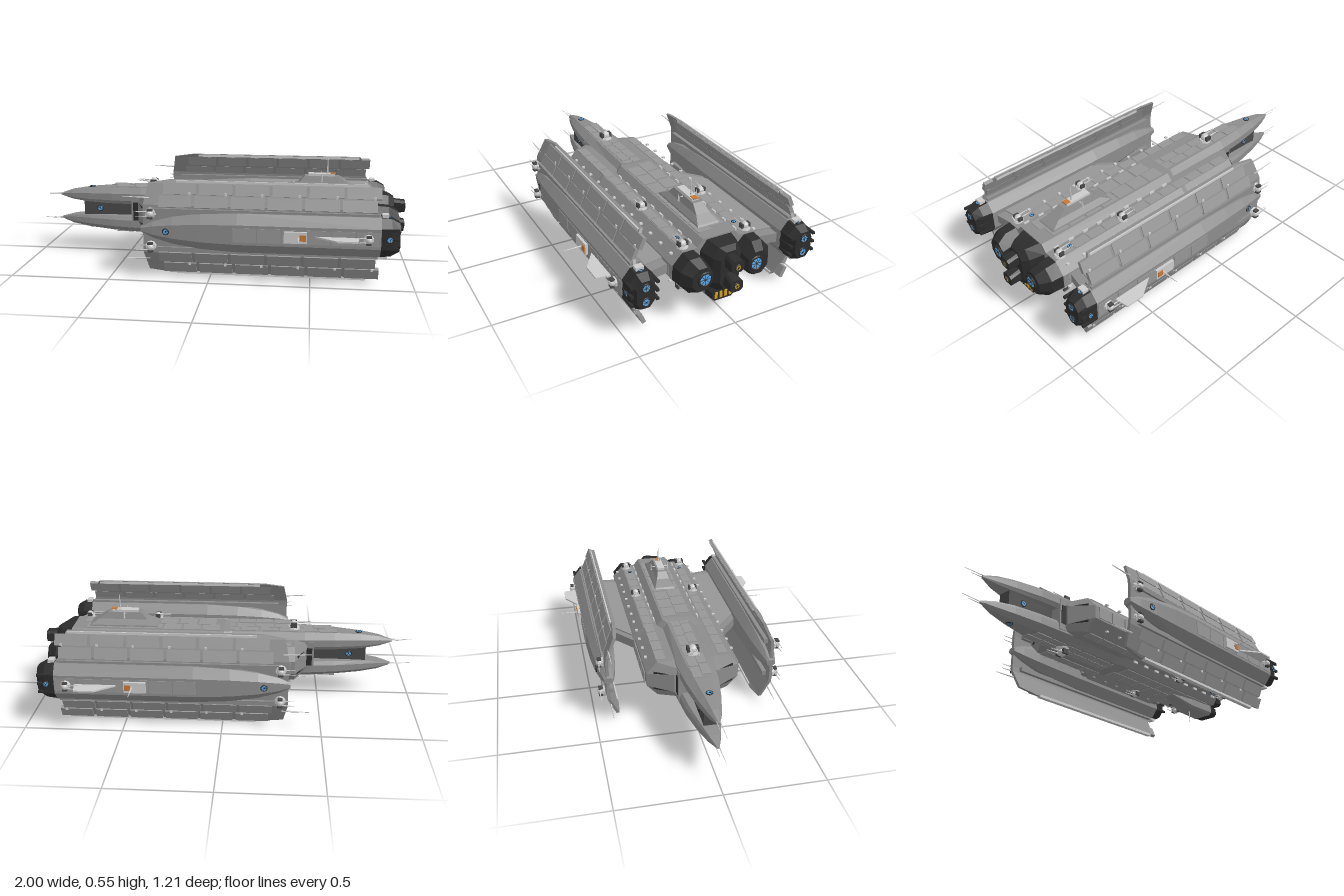
import * as THREE from 'three';

const mat = (color) => new THREE.MeshStandardMaterial({ color, flatShading: true, side: THREE.DoubleSide });
const HULL = mat(0x8c8c8c), PLATE = mat(0x969696), TRIM = mat(0xcccccc), DARK = mat(0x2c2c2c), PANEL = mat(0x484848);
const BLUE = mat(0x5aa8ea), GOLD = mat(0xd0a020), ORANGE = mat(0xc87838);
const MID = 0.25; // height of the ship's axis

function add(parent, name, geo, material, x = 0, y = 0, z = 0) {
  const m = new THREE.Mesh(geo, material);
  m.name = name;
  m.position.set(x, y, z);
  parent.add(m);
  return m;
}
const box = (p, name, m, w, h, d, x, y, z) => add(p, name, new THREE.BoxGeometry(w, h, d), m, x, y, z);

// Skin a list of equal-length rings of [x, y, z], capped at both ends, always facing outwards
function loft(rings) {
  const tris = [], n = rings[0].length;
  for (let i = 0; i < rings.length - 1; i++)
    for (let j = 0; j < n; j++) {
      const k = (j + 1) % n, a = rings[i], b = rings[i + 1];
      tris.push([a[j], a[k], b[k]], [a[j], b[k], b[j]]);
    }
  const last = rings[rings.length - 1];
  for (let j = 1; j < n - 1; j++)
    tris.push([rings[0][0], rings[0][j + 1], rings[0][j]], [last[0], last[j], last[j + 1]]);
  const v = (p) => new THREE.Vector3(p[0], p[1] - MID, p[2]);
  const volume = tris.reduce((s, [a, b, c]) => s + v(a).dot(v(b).cross(v(c))), 0);
  const flat = tris.flatMap(([a, b, c]) => (volume < 0 ? [a, c, b] : [a, b, c])).flat();
  const g = new THREE.BufferGeometry();
  g.setAttribute('position', new THREE.Float32BufferAttribute(flat, 3));
  g.computeVertexNormals();
  return g;
}
// Chamfered rectangle across the ship: half height h, half width w, chamfers ch and cw
const octagon = (x, y, z, h, w, ch, cw) =>
  [[h, w - cw], [h - ch, w], [-h + ch, w], [-h, w - cw], [-h, -w + cw], [-h + ch, -w], [h - ch, -w], [h, -w + cw]]
    .map(([dy, dz]) => [x, y + dy, z + dz]);
const rect = (y, x0, x1, w) => [[x0, y, -w], [x1, y, -w], [x1, y, w], [x0, y, w]];

// Thin tapering rod between two points
function needle(p, name, a, b, r = 0.003) {
  const A = new THREE.Vector3(...a), d = new THREE.Vector3(...b).sub(A);
  const m = add(p, name, new THREE.CylinderGeometry(r * 0.3, r, d.length(), 6), TRIM);
  m.position.copy(A).addScaledVector(d, 0.5);
  m.quaternion.setFromUnitVectors(new THREE.Vector3(0, 1, 0), d.normalize());
}
// Round lamp or engine nozzle; built along +y, then turned to face dir
function nozzle(p, name, glow, r, pos, dir) {
  const g = new THREE.Group();
  g.name = name;
  add(g, name + 'Rim', new THREE.TorusGeometry(r, r * 0.2, 6, 16), DARK).rotation.x = Math.PI / 2;
  add(g, name + 'Glow', new THREE.CylinderGeometry(r * 0.95, r * 0.95, 0.004, 16), glow);
  add(g, name + 'Hub', new THREE.CylinderGeometry(r * 0.15, r * 0.25, 0.008, 8), DARK);
  for (let i = 0; i < 4; i++) box(g, name + 'Spoke', DARK, r * 1.9, 0.006, r * 0.06, 0, 0, 0).rotation.y = i * Math.PI / 4;
  g.position.set(...pos);
  g.quaternion.setFromUnitVectors(new THREE.Vector3(0, 1, 0), new THREE.Vector3(...dir));
  p.add(g);
}
// Twin-barrelled turret, tilted about the ship's long axis
function turret(p, x, y, z, tilt, s = 1) {
  const g = new THREE.Group();
  g.name = 'turret';
  add(g, 'turretBase', new THREE.CylinderGeometry(0.02, 0.024, 0.01, 10), TRIM, 0, 0.004, 0);
  add(g, 'turretHead', new THREE.SphereGeometry(0.016, 10, 6), TRIM, 0, 0.014, 0);
  for (const k of [-1, 1]) {
    box(g, 'turretCheek', PANEL, 0.022, 0.018, 0.008, 0, 0.016, k * 0.016);
    needle(g, 'turretBarrel', [0, 0.018, k * 0.01], [-0.06, 0.022, k * 0.01], 0.0035);
  }
  g.position.set(x, y, z);
  g.rotation.x = tilt;
  g.scale.setScalar(s);
  p.add(g);
}

// Upper half of the central spine, ending forward in a pointed prong
function spineHalf() {
  const g = new THREE.Group();
  g.name = 'spineHalf';
  const st = [[-0.89, 0.006, 0.322, 0.312], [-0.82, 0.031, 0.345, 0.296], [-0.72, 0.056, 0.36, 0.287], [-0.58, 0.08, 0.37, 0.285],
    [-0.42, 0.094, 0.375, 0.285], [-0.03, 0.1, 0.375, 0.25], [0.01, 0.122, 0.382, 0.25], [0.83, 0.122, 0.382, 0.25]];
  add(g, 'spine', loft(st.map(([x, w, t, b]) => {
    const c = Math.min(0.036, w * 0.5), h = (t - b) * 0.45;
    return [[x, b, -w * 0.85], [x, b + h * 0.5, -w], [x, t - h * 0.75, -w], [x, t, c - w],
      [x, t, w - c], [x, t - h * 0.75, w], [x, b + h * 0.5, w], [x, b, w * 0.85]];
  })), HULL);
  for (let i = 0; i < 13; i++) { // staggered deck plates
    const x = -0.53 + i * 0.104, w = x < 0 ? 0.05 : 0.078;
    for (const s of [-1, 1]) box(g, 'deckPlate', PLATE, 0.094, 0.004, w - 0.004, x + s * 0.012, x < 0 ? 0.375 : 0.383, s * w / 2);
  }
  for (const s of [-1, 1]) {
    for (let i = 0; i < 9; i++) box(g, 'spineTooth', TRIM, 0.03, 0.012, 0.008, 0.07 + i * 0.088, 0.352, s * 0.122);
    for (let i = 0; i < 12; i++) box(g, 'shoulderPlate', PLATE, 0.088, 0.004, 0.05, -0.3 + i * 0.096, 0.346, s * 0.16);
    turret(g, 0.4, 0.346, s * 0.17, 0, 1.2);
    turret(g, 0.79, 0.346, s * 0.17, 0, 1.2);
    nozzle(g, 'shoulderLamp', BLUE, 0.01, [0.72, 0.35, s * 0.155], [0, 1, 0]);
  }
  turret(g, -0.36, 0.376, 0, 0, 1.5);
  nozzle(g, 'prongLamp', BLUE, 0.015, [-0.71, 0.364, 0], [0, 1, 0]);
  for (const s of [-1, 1]) needle(g, 'noseNeedle', [-0.84, 0.322, s * 0.008], [s > 0 ? -1 : -0.95, 0.318, s * 0.008], 0.003);
  return g;
}

// Outrigger on the +z side with its wing, curved shield fins and engines
function outrigger() {
  const g = new THREE.Group(), Z = 0.425;
  g.name = 'outrigger';
  const st = [[-0.34, 0.016, 0.022], [-0.28, 0.042, 0.036], [-0.18, 0.068, 0.052], [-0.04, 0.088, 0.064], [0.14, 0.098, 0.071], [0.83, 0.098, 0.071]];
  add(g, 'nacelle', loft(st.map(([x, h, w]) => octagon(x, MID, Z, h, w, h * 0.5, w * 0.55))), HULL);
  // Shield: a plate curving inwards above and below the nacelle
  const half = [[0.492, 0.372, -0.2, 0.775], [0.475, 0.383, -0.31, 0.785], [0.375, 0.427, -0.33, 0.81], [0.345, 0.43, -0.33, 0.83]];
  const path = [...half, ...half.map(([y, z, a, b]) => [0.505 - y, z, a, b]).reverse()];
  add(g, 'shieldFin', loft(path.map(([y, z, a, b]) => [[a, y, z - 0.008], [b, y, z - 0.008], [b, y, z + 0.008], [a, y, z + 0.008]])), HULL);
  for (const s of [-1, 1]) {
    const Y = (h) => MID + s * h;
    box(g, 'finCap', TRIM, 0.94, 0.014, 0.024, 0.3, Y(0.234), 0.376);
    box(g, 'finRoot', HULL, 1.1, 0.024, 0.05, 0.27, Y(0.098), Z);
    for (let i = 0; i < 6; i++) {
      const x = -0.17 + i * 0.18;
      for (const [h, z] of [[0.14, 0.422], [0.2, 0.396]]) // overlapping fin plates
        box(g, 'finPlate', PLATE, 0.165, 0.058, 0.02, x + (h > 0.17 ? 0.02 : 0), Y(h), z).rotation.x = -s * 0.41;
      box(g, 'finBolt', TRIM, 0.012, 0.012, 0.012, x + 0.07, Y(0.18), 0.413);
    }
    needle(g, 'finNeedle', [-0.3, Y(0.155), 0.418], [-0.44, Y(0.16), 0.418], 0.005);
    turret(g, -0.29, Y(0.085), 0.445, Math.PI / 2, 1.2);
    box(g, 'engineClamp', TRIM, 0.03, 0.02, 0.04, 0.85, Y(0.1), Z);
    nozzle(g, 'outriggerNozzle', BLUE, 0.02, [0.922, Y(0.037), Z], [1, 0, 0]);
    nozzle(g, 'engineLamp', BLUE, 0.012, [0.865, Y(0.096), Z], [0, s, 0]);
  }
  // Engine block
  add(g, 'engineBlock', loft([octagon(0.83, MID, Z, 0.096, 0.068, 0.045, 0.036), octagon(0.88, MID, Z, 0.092, 0.064, 0.045, 0.036),
    octagon(0.92, MID, Z, 0.07, 0.045, 0.034, 0.025)]), DARK);
  for (const s of [-1, 1]) for (const h of [-0.045, 0, 0.045]) box(g, 'engineRib', DARK, 0.085, 0.012, 0.014, 0.872, MID + h, Z + s * 0.063);
  nozzle(g, 'sideLamp', BLUE, 0.014, [0.87, MID, Z + 0.07], [0, 0, 1]);
  nozzle(g, 'noseLamp', BLUE, 0.015, [-0.21, MID, Z + 0.05], [-0.12, 0, 0.99]);
  // Outer face fittings
  for (let i = 0; i < 6; i++) box(g, 'sidePlate', PLATE, 0.112, 0.07, 0.005, 0.18 + i * 0.118, MID, Z + 0.071);
  box(g, 'hatchFrame', TRIM, 0.11, 0.056, 0.02, 0.425, MID, Z + 0.077);
  box(g, 'hatch', ORANGE, 0.03, 0.03, 0.006, 0.46, MID, Z + 0.088);
  needle(g, 'sideAntenna', [0.44, MID, Z + 0.08], [0.44, MID, 0.605], 0.005);
  turret(g, 0.77, MID, Z + 0.073, Math.PI / 2, 1.1);
  const plan = (pts, y, t) => loft([pts.map(([x, z]) => [x, y - t, z]), pts.map(([x, z]) => [x, y + t, z])]);
  add(g, 'outerFin', plan([[0.5, 0.485], [0.62, 0.568], [0.715, 0.568], [0.73, 0.485]], MID + 0.003, 0.004), TRIM);
  // Wing joining the outrigger to the hull
  const wing = [[-0.02, 0.23], [0.16, 0.375], [0.81, 0.375], [0.785, 0.23]];
  add(g, 'wing', plan(wing, MID, 0.024), HULL);
  add(g, 'wingCore', plan(wing.map(([x, z], i) => [x + (i < 2 ? 0.05 : -0.05), z]), MID, 0.031), PLATE);
  // Hull flank on this side
  for (let i = 0; i < 12; i++) {
    box(g, 'flankPlate', PLATE, 0.088, 0.06, 0.005, -0.3 + i * 0.096, MID, 0.244);
    for (const s of [-1, 1]) box(g, 'flankBolt', TRIM, 0.014, 0.008, 0.014, -0.27 + i * 0.096, MID + s * 0.075, 0.226);
  }
  // Main engine on this side
  add(g, 'mainEngine', loft([octagon(0.83, MID, 0.165, 0.092, 0.078, 0.055, 0.05), octagon(0.89, MID, 0.165, 0.088, 0.072, 0.052, 0.046),
    octagon(0.94, MID, 0.15, 0.06, 0.052, 0.035, 0.03)]), DARK);
  nozzle(g, 'mainNozzle', BLUE, 0.034, [0.942, MID, 0.138], [1, 0, 0]);
  // Forward intake on the slanted flank front
  const intake = box(g, 'intake', DARK, 0.01, 0.1, 0.085, -0.396, MID, 0.165);
  intake.rotation.y = Math.atan2(0.06, 0.12);
  return g;
}

export function createModel() {
  const ship = new THREE.Group();
  ship.name = 'spaceship';

  // Broad main hull
  add(ship, 'mainHull', loft([octagon(-0.43, MID, 0, 0.08, 0.11, 0.03, 0.03), octagon(-0.365, MID, 0, 0.095, 0.238, 0.06, 0.055),
    octagon(-0.02, MID, 0, 0.095, 0.238, 0.06, 0.055), octagon(0.01, MID, 0, 0.096, 0.245, 0.06, 0.055),
    octagon(0.83, MID, 0, 0.096, 0.245, 0.06, 0.055)]), HULL);

  // Spine and prongs, mirrored above and below the axis
  const lower = spineHalf();
  lower.scale.y = -1;
  lower.position.y = 2 * MID;
  ship.add(spineHalf(), lower);

  // Recessed web and frame between the prongs
  box(ship, 'prongWeb', PANEL, 0.3, 0.09, 0.07, -0.6, MID, 0);
  box(ship, 'prongFrame', HULL, 0.07, 0.17, 0.19, -0.435, MID, 0);
  for (const s of [-1, 1]) {
    box(ship, 'framePanel', DARK, 0.05, 0.1, 0.006, -0.435, MID, s * 0.096);
    nozzle(ship, 'webLamp', BLUE, 0.015, [-0.66, MID, s * 0.038], [0, 0, s]);
  }

  const left = outrigger(), right = outrigger();
  right.scale.z = -1;
  ship.add(left, right);

  // Central engine with two stacked nozzles
  add(ship, 'centralEngine', loft([octagon(0.83, MID, 0, 0.125, 0.1, 0.05, 0.035), octagon(0.9, MID, 0, 0.115, 0.075, 0.05, 0.03),
    octagon(0.93, MID, 0, 0.1, 0.05, 0.04, 0.025)]), DARK);
  for (const s of [-1, 1]) {
    add(ship, 'centralBell', loft([octagon(0.91, MID + s * 0.05, 0, 0.04, 0.028, 0.015, 0.012), octagon(0.99, MID + s * 0.052, 0, 0.03, 0.034, 0.012, 0.014)]), DARK);
    nozzle(ship, 'centralNozzle', GOLD, 0.015, [0.992, MID + s * 0.05, 0], [1, 0, 0]);
  }

  // Command tower with masts
  add(ship, 'towerBase', loft([rect(0.375, 0.36, 0.75, 0.06), rect(0.392, 0.375, 0.735, 0.056), rect(0.42, 0.43, 0.69, 0.036), rect(0.455, 0.46, 0.64, 0.025)]), HULL);
  box(ship, 'towerBridge', TRIM, 0.14, 0.014, 0.04, 0.55, 0.46, 0);
  box(ship, 'towerHatch', ORANGE, 0.03, 0.006, 0.03, 0.61, 0.467, 0);
  needle(ship, 'mast', [0.58, 0.46, 0], [0.58, 0.55, 0], 0.005);
  for (const s of [-1, 1]) {
    needle(ship, 'sensorArm', [0.55, 0.45, 0], [0.55, 0.45, s * 0.05], 0.005);
    needle(ship, 'sensorRod', [0.55, 0.43, s * 0.05], [0.55, 0.47, s * 0.05], 0.005);
  }

  // Belly pod with slatted exhaust
  add(ship, 'bellyPod', loft([octagon(0.5, 0.12, 0, 0.01, 0.03, 0.004, 0.01), octagon(0.66, 0.1, 0, 0.036, 0.06, 0.012, 0.012), octagon(0.83, 0.098, 0, 0.036, 0.066, 0.014, 0.014)]), HULL);
  add(ship, 'bellyExhaust', loft([octagon(0.83, 0.096, 0, 0.032, 0.064, 0.014, 0.014), octagon(0.89, 0.096, 0, 0.03, 0.06, 0.014, 0.014)]), DARK);
  for (let i = 0; i < 4; i++) box(ship, 'exhaustSlat', GOLD, 0.008, 0.034, 0.014, 0.89, 0.096, -0.039 + i * 0.026);
  needle(ship, 'bellyMast', [0.7, 0.066, 0], [0.7, 0, 0], 0.005);
  return ship;
}
